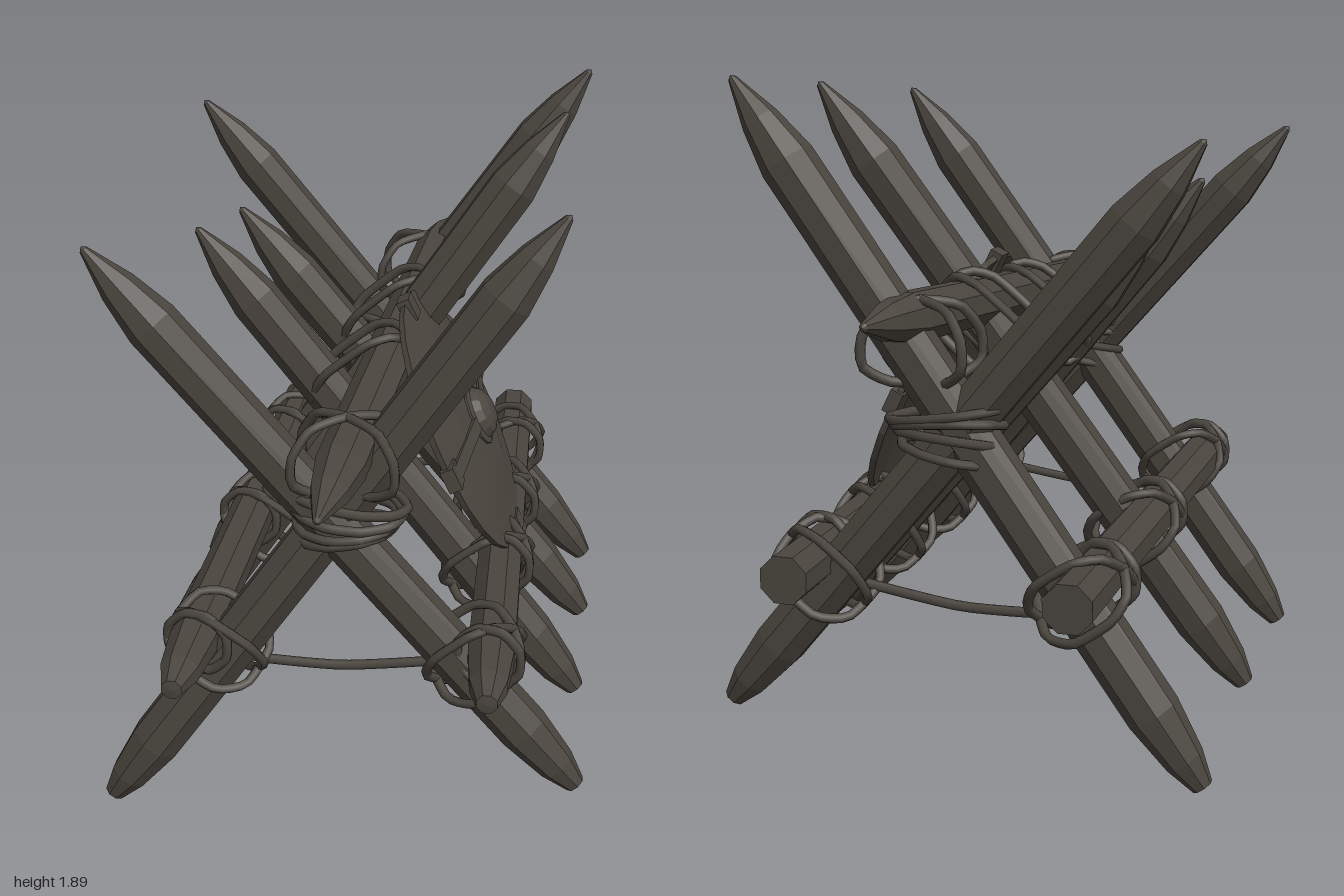
import * as THREE from 'three';

const V = (x, y, z) => new THREE.Vector3(x, y, z);

export function createModel() {
  const model = new THREE.Group();
  model.name = 'barricade';
  const wood = new THREE.MeshStandardMaterial({ color: 0x4a453e });
  wood.name = 'dark weathered wood';

  const add = (geo, name, parent = model) => {
    const mesh = new THREE.Mesh(geo, wood);
    mesh.name = name;
    parent.add(mesh);
    return mesh;
  };
  // faceted normals
  const facet = (geo) => {
    const g = geo.toNonIndexed();
    g.computeVertexNormals();
    return g;
  };

  // Pole from a to b: start and end are 'sharp', 'blunt' or 'flat'
  const tips = {
    sharp: [[0, 0], [0.012, 0.01], [0.052, 0.14], [1, 0.27]],
    blunt: [[0, 0], [0.03, 0.004], [0.056, 0.09], [1, 0.24]],
    flat: [[0, 0], [1, 0]],
  };
  function pole(name, a, b, r, start, end) {
    const length = a.distanceTo(b);
    const radius = (v) => (v === 1 ? r : v);
    const points = [
      ...tips[start].map(([x, d]) => new THREE.Vector2(radius(x), d)),
      ...tips[end].map(([x, d]) => new THREE.Vector2(radius(x), length - d)).reverse(),
    ];
    const mesh = add(facet(new THREE.LatheGeometry(points, 8, Math.PI / 8)), name);
    mesh.position.copy(a);
    mesh.quaternion.setFromUnitVectors(V(0, 1, 0), b.clone().sub(a).normalize());
  }

  // Stakes leaning to either side
  const stakesA = [
    [V(0.68, 0.13, 0.62), V(-0.67, 1.69, 0.61)],
    [V(0.67, 0.13, 0.13), V(-0.5, 1.57, 0.06)],
    [V(0.68, 0.17, -0.27), V(-0.46, 1.5, -0.36)],
    [V(0.68, 0.13, -0.73), V(-0.65, 1.74, -0.74)],
  ];
  const stakesB = [
    [V(-0.68, 0.0, 0.67), V(0.58, 1.8, 0.52)],
    [V(-0.68, 0.06, -0.05), V(0.55, 1.85, -0.31)],
    [V(-0.68, 0.04, -0.73), V(0.61, 1.88, -0.74)],
  ];
  stakesA.forEach(([a, b]) => pole('rightFootStake', a, b, 0.074, 'blunt', 'sharp'));
  stakesB.forEach(([a, b]) => pole('leftFootStake', a, b, 0.076, 'blunt', 'sharp'));

  // Ridge pole and the two lower rails
  pole('ridgePole', V(0, 1.14, 1), V(0.15, 1.28, -1), 0.072, 'sharp', 'sharp');
  pole('leftRail', V(-0.41, 0.57, 0.94), V(-0.37, 0.59, -0.97), 0.07, 'blunt', 'flat');
  pole('rightRail', V(0.43, 0.58, 0.91), V(0.4, 0.59, -0.97), 0.07, 'blunt', 'flat');

  // Ropes
  const rope = (name, points, closed, r = 0.014) => {
    const curve = new THREE.CatmullRomCurve3(points, closed, 'catmullrom', 0.3);
    add(new THREE.TubeGeometry(curve, closed ? 32 : 16, r, 6, closed), name);
  };
  // Crossed lashing: p runs along the stake, n points out over the rail
  function lashing(c, p, n, halfP, halfZ, top, depth) {
    for (const s of [1, -1]) {
      const at = (u, h) => c.clone().addScaledVector(p, u * halfP)
        .addScaledVector(n, h).add(V(0, 0, s * u * halfZ));
      rope('lashing', [at(0, top), at(0.65, top * 0.8), at(1, 0), at(1, -depth * 0.6), at(0.5, -depth * 0.95),
        at(-0.5, -depth * 0.95), at(-1, -depth * 0.6), at(-1, 0), at(-0.65, top * 0.8)], true);
    }
  }
  // Octagonal loop around a rail, slightly tilted
  function loop(name, c, rx, ry, tilt) {
    const points = [];
    for (let i = 0; i < 8; i++) {
      const a = (i + 0.5) * Math.PI / 4;
      points.push(V(c.x + rx * Math.cos(a), c.y + ry * Math.sin(a), c.z + tilt * Math.cos(a)));
    }
    rope(name, points, true);
  }

  // Lashings where stakes meet the lower rails
  const lashRail = ([a, b], c) => {
    const p = b.clone().sub(a).setZ(0).normalize();
    const n = V(-p.y, p.x, 0);
    if (n.x * c.x < 0) n.negate();
    lashing(c, p, n, 0.09, 0.085, 0.082, 0.2);
    loop('railLoop', c.clone().add(V(0, 0, 0.07)), 0.092, 0.092, 0.02);
  };
  [0.62, 0.1, -0.3, -0.73].forEach((z, i) => lashRail(stakesA[i], V(0.42, 0.585, z)));
  [0.64, -0.1, -0.73].forEach((z, i) => lashRail(stakesB[i], V(-0.39, 0.58, z)));

  // Lashings where inner stakes pass the ridge
  [[V(0.07, 1.2, 0.08), 1], [V(0.1, 1.23, -0.33), 2]].forEach(([c, i]) => {
    const p = stakesA[i][1].clone().sub(stakesA[i][0]).setZ(0).normalize();
    lashing(c, p, V(p.y, -p.x, 0), 0.09, 0.08, 0.085, 0.27);
  });

  // Ridge lashings and coils around the end crossings
  [[0.61, 0.02, 1.16], [-0.735, 0.09, 1.22]].forEach(([z, x, y]) => {
    lashing(V(x, y, z), V(1, 0, 0), V(0, 1, 0), 0.135, 0.085, 0.09, 0.13);
    for (let k = 0; k < 4; k++) {
      const points = [];
      for (let i = 0; i < 10; i++) {
        const a = i * Math.PI / 5;
        points.push(V(0.02 + (0.13 + 0.012 * k) * Math.cos(a),
          0.91 + k * 0.035 + 0.025 * Math.cos(a + k), z + 0.095 * Math.sin(a)));
      }
      rope('crossingCoil', points, true);
    }
  });

  // Slack ropes tying the lower rails together
  for (const z of [0.6, -0.7]) {
    rope('slackRope', [V(-0.36, 0.5, z), V(-0.24, 0.47, z), V(0, 0.465, z), V(0.25, 0.5, z), V(0.4, 0.53, z)], false);
  }

  // Round shield leaning on the right side
  const shield = new THREE.Group();
  shield.name = 'shield';
  shield.position.set(0.29, 0.965, -0.04);
  shield.rotation.z = -1.115;
  model.add(shield);
  const lathe = (pts, n) => facet(new THREE.LatheGeometry(pts.map(([x, y]) => new THREE.Vector2(x, y)), n));
  add(lathe([[0, 0.022], [0.2, 0.008], [0.415, -0.022], [0.42, -0.004], [0.22, 0.028], [0, 0.045]], 24), 'shieldBoard', shield);
  add(lathe([[0, 0.02], [0.1, 0.02], [0.1, 0.044], [0.082, 0.05], [0.068, 0.072], [0.04, 0.088], [0, 0.093]], 14), 'shieldBoss', shield);
  // Iron strip across the shield and clips on its rim
  for (const s of [1, -1]) {
    const strip = add(new THREE.BoxGeometry(0.045, 0.012, 0.33), 'shieldStrip', shield);
    strip.position.set(0, 0.023, s * 0.25);
    strip.rotation.x = s * 0.125;
  }
  for (let i = 0; i < 4; i++) {
    const a = i * Math.PI / 2;
    const clip = add(new THREE.BoxGeometry(0.07, 0.04, 0.07), 'rimClip', shield);
    clip.position.set(Math.cos(a) * 0.392, -0.008, Math.sin(a) * 0.392);
  }
  return model;
}
